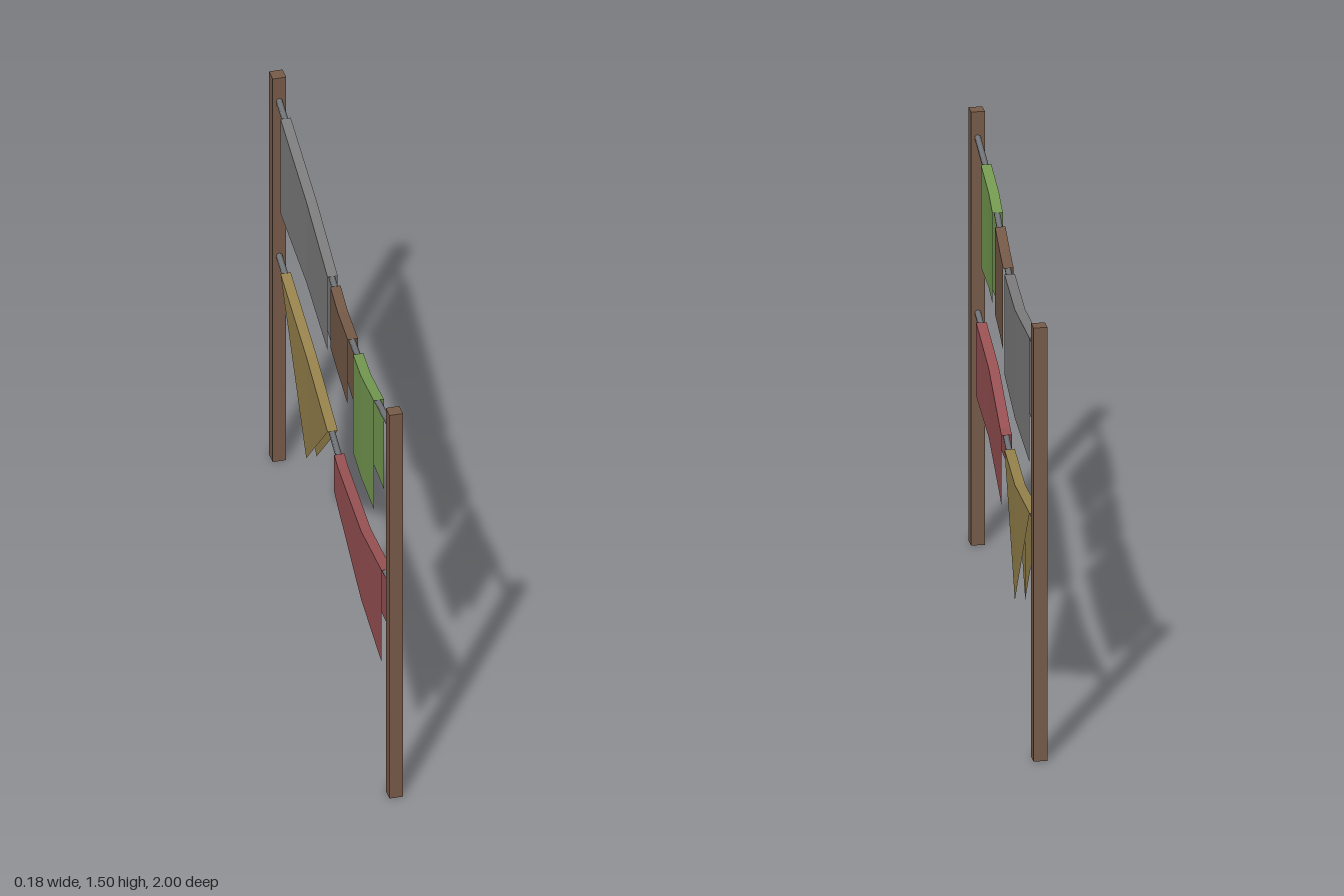
import * as THREE from 'three';

const material = (name, color, side = THREE.FrontSide) => {
  const m = new THREE.MeshStandardMaterial({ color, side });
  m.name = name;
  return m;
};

// Sagging line between the posts: x, y, z
const LINE = [
  [-0.068, 1.412, 0.97], [-0.053, 1.353, 0.57], [-0.015, 1.311, 0.14],
  [0.005, 1.313, -0.06], [0.040, 1.342, -0.455], [0.068, 1.412, -0.97],
].map(p => new THREE.Vector3(...p));
const LOWER = -0.606;

// Point on the line at a given z
function lineAt(z) {
  let i = 0;
  while (i < LINE.length - 2 && LINE[i + 1].z > z) i++;
  const a = LINE[i], b = LINE[i + 1];
  return a.clone().lerp(b, (z - a.z) / (b.z - a.z));
}

// Six-sided rod between two points
function rod(a, b, radius, mat) {
  const dir = b.clone().sub(a);
  const mesh = new THREE.Mesh(new THREE.CylinderGeometry(radius, radius, dir.length(), 6), mat);
  mesh.position.copy(a).add(b).multiplyScalar(0.5);
  mesh.quaternion.setFromUnitVectors(new THREE.Vector3(0, 1, 0), dir.normalize());
  return mesh;
}

// Cloth folded over the line: sections run down one side, across the top, down the other
function cloth(name, z0, z1, drop, mat, leftHem, rightHem) {
  const gap = 0.017, lift = 0.013;
  const zs = [z0, ...LINE.map(p => p.z).filter(z => z < z0 && z > z1), z1];
  const sections = zs.map(z => {
    const p = lineAt(z), top = p.y + drop + lift, t = (z - z0) / (z1 - z0);
    return [
      [p.x - gap, rightHem(t, top), z], [p.x - gap, top, z],
      [p.x + gap, top, z], [p.x + gap, leftHem(t, top), z],
    ];
  });
  const pos = [];
  for (let i = 0; i < sections.length - 1; i++) {
    for (let j = 0; j < 3; j++) {
      const a = sections[i][j], b = sections[i][j + 1];
      const c = sections[i + 1][j + 1], d = sections[i + 1][j];
      for (const tri of [[a, b, c], [a, c, d]]) {
        const [p, q, r] = tri.map(v => new THREE.Vector3(...v));
        const area = q.clone().sub(p).cross(r.clone().sub(p)).length();
        if (area > 1e-7) pos.push(...tri.flat());
      }
    }
  }
  const g = new THREE.BufferGeometry();
  g.setAttribute('position', new THREE.Float32BufferAttribute(pos, 3));
  g.computeVertexNormals();
  const mesh = new THREE.Mesh(g, mat);
  mesh.name = name;
  return mesh;
}

export function createModel() {
  const model = new THREE.Group();
  model.name = 'clothesline';
  const wood = material('wood', 0x775b49);
  const rope = material('rope', 0x75787c);
  const green = material('greenCloth', 0x769b52, THREE.DoubleSide);
  const brown = material('brownCloth', 0x775b49, THREE.DoubleSide);
  const grey = material('greyCloth', 0x7e7e7e, THREE.DoubleSide);
  const red = material('redCloth', 0x9a5254, THREE.DoubleSide);
  const ochre = material('ochreCloth', 0x98844d, THREE.DoubleSide);

  // Posts
  for (const s of [1, -1]) {
    const post = new THREE.Mesh(new THREE.BoxGeometry(0.045, 1.5, 0.045), wood);
    post.position.set(-0.068 * s, 0.75, 0.9775 * s);
    post.name = s > 0 ? 'frontPost' : 'backPost';
    model.add(post);
  }

  // Two ropes
  for (const drop of [0, LOWER]) {
    const group = new THREE.Group();
    group.name = drop ? 'lowerRope' : 'upperRope';
    for (let i = 0; i < LINE.length - 1; i++) {
      const segment = rod(LINE[i], LINE[i + 1], 0.011, rope);
      segment.name = 'ropeSegment';
      group.add(segment);
    }
    group.position.y = drop;
    model.add(group);
  }

  // Hanging cloths: square hems, slanted hems and a pointed one
  const level = y => () => y;
  const slope = (a, b) => t => a + (b - a) * t;
  const point = (t, top) => {
    const edge = Math.min(t, 1 - t);
    return edge < 1e-6 ? top : top - (top - 0.35) * Math.min(1, edge / 0.495);
  };
  model.add(
    cloth('greenCloth', 0.755, 0.425, 0, green, level(1.04), level(0.97)),
    cloth('brownCloth', 0.325, -0.005, 0, brown, level(1.04), level(1.09)),
    cloth('greyCloth', -0.06, -0.855, 0, grey, level(0.98), level(1.04)),
    cloth('redCloth', 0.868, 0.07, LOWER, red, slope(0.55, 0.475), slope(0.445, 0.575)),
    cloth('ochrePennant', -0.0601, -0.855, LOWER, ochre, point, point),
  );
  return model;
}
